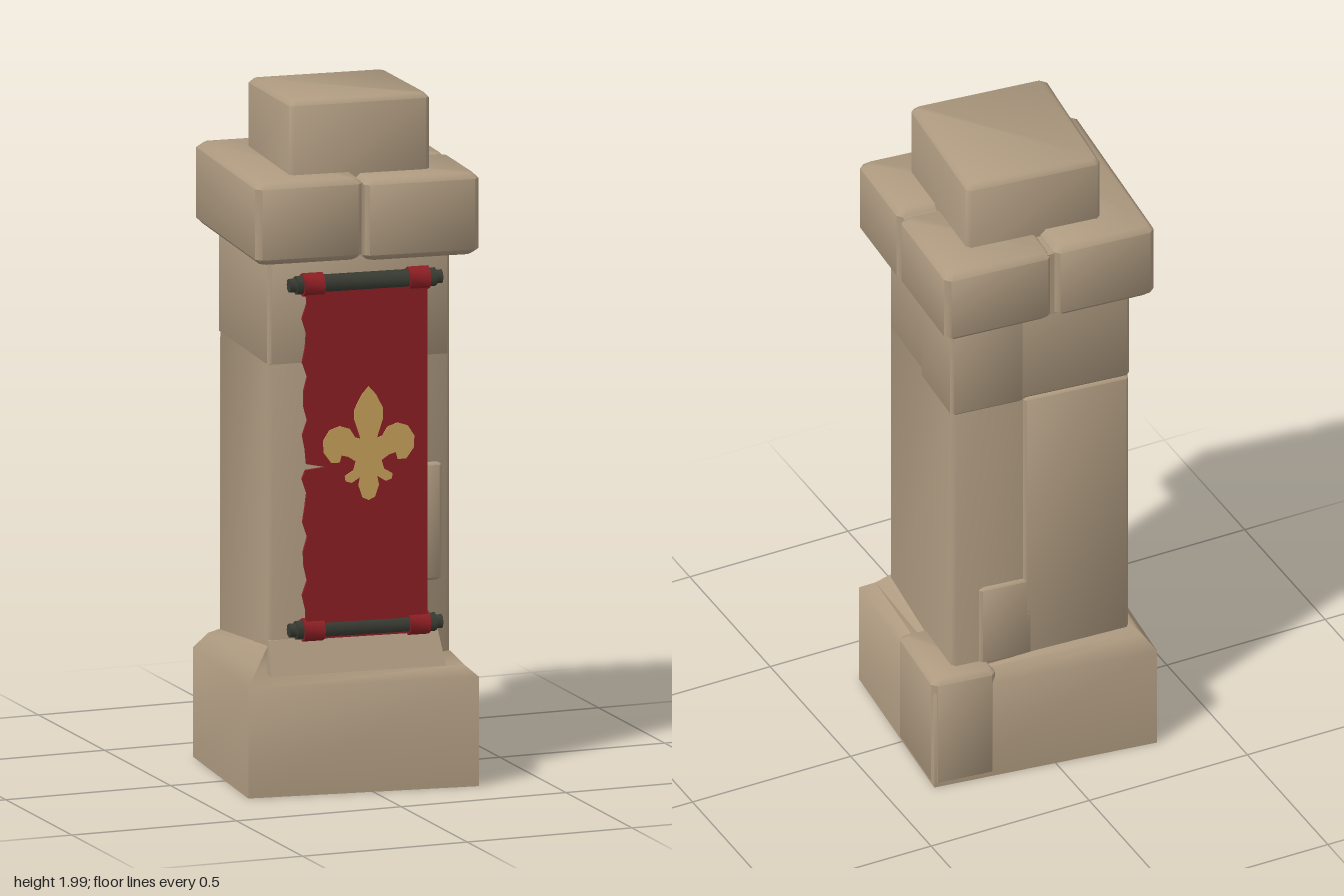
import * as THREE from 'three';
import { toCreasedNormals } from 'three/addons/utils/BufferGeometryUtils.js';

const mat = (name, color) => {
  const m = new THREE.MeshStandardMaterial({ color });
  m.name = name;
  return m;
};

// Skewed square footprints as [x, z]: back left, back right, front right, front left
const BASE = [[-0.30, -0.33], [0.36, -0.245], [0.305, 0.33], [-0.36, 0.24]];
const SHAFT = [[-0.25, -0.255], [0.28, -0.20], [0.245, 0.26], [-0.29, 0.215]];
const COLLAR = [[-0.29, -0.342], [0.345, -0.29], [0.305, 0.338], [-0.347, 0.272]];
const CAP = [[-0.175, -0.23], [0.225, -0.185], [0.195, 0.232], [-0.213, 0.19]];

const mix = (a, b, t) => [a[0] + (b[0] - a[0]) * t, a[1] + (b[1] - a[1]) * t];
const at = (q, u, v) => mix(mix(q[0], q[1], u), mix(q[3], q[2], u), v);
// Part of a footprint, u from left to right and v from back to front
const sub = (q, u0, u1, v0, v1) => [at(q, u0, v0), at(q, u1, v0), at(q, u1, v1), at(q, u0, v1)];
const scale = (q, s) => {
  const c = at(q, 0.5, 0.5);
  return q.map((p) => mix(c, p, s));
};
// Move every side of a footprint inward by about d
const inset = (q, d) => {
  const w = Math.hypot(q[1][0] - q[0][0], q[1][1] - q[0][1]);
  const h = Math.hypot(q[3][0] - q[0][0], q[3][1] - q[0][1]);
  return sub(q, d / w, 1 - d / w, d / h, 1 - d / h);
};
// Cut the four upright corners
const chamfer = (q, c) => q.flatMap((p, i) => [q[(i + 3) % 4], q[(i + 1) % 4]].map((n) =>
  mix(p, n, c / Math.hypot(n[0] - p[0], n[1] - p[1]))));

// Skin a stack of footprints; yAt may tilt a ring
function loft(rings, bottom = true, top = true) {
  const pos = [];
  const P = rings.map(([y, q]) => q.map(([x, z]) =>
    [x, typeof y === 'function' ? y(x, z) : y, z]));
  const n = P[0].length;
  for (let r = 0; r < P.length - 1; r++) {
    for (let i = 0; i < n; i++) {
      const j = (i + 1) % n;
      const [a, b, c, d] = [P[r][i], P[r][j], P[r + 1][i], P[r + 1][j]];
      pos.push(...a, ...c, ...b, ...b, ...c, ...d);
    }
  }
  const last = P[P.length - 1];
  for (let i = 1; i < n - 1; i++) {
    if (bottom) pos.push(...P[0][0], ...P[0][i], ...P[0][i + 1]);
    if (top) pos.push(...last[0], ...last[i + 1], ...last[i]);
  }
  const g = new THREE.BufferGeometry();
  g.setAttribute('position', new THREE.Float32BufferAttribute(pos, 3));
  return toCreasedNormals(g, 0.9);
}

// A stone with worn edges
function stoneGeo(q, y0, y1, b = 0.012) {
  const full = chamfer(q, b);
  const small = chamfer(inset(q, b), b);
  return loft([[y0, small], [y0 + b, full], [y1 - b, full], [y1, small]]);
}

export function createModel() {
  const stone = mat('stone', 0xae9a80);
  const red = mat('red cloth', 0x8c1f24);
  red.side = THREE.DoubleSide;
  const dark = mat('dark wood', 0x383b32);
  const gold = mat('gold', 0xc8a259);

  const model = new THREE.Group();
  model.name = 'bannerPillar';
  const add = (name, geo, material, parent = model) => {
    const m = new THREE.Mesh(geo, material);
    m.name = name;
    parent.add(m);
    return m;
  };

  // Plinth with a square hollow underneath
  const hole = scale(BASE, 0.5);
  add('plinth', loft([
    [0.01, hole], [0.01, BASE], [0.325, BASE],
    [(x, z) => 0.365 - x * 0.03, inset(BASE, 0.035)], [(x, z) => 0.39 - x * 0.1 + z * 0.1, SHAFT],
  ], false), stone);
  add('plinthHollow', loft([[0.3, hole], [0.01, hole]], true, false), dark);
  add('plinthCornerStone', stoneGeo(sub(BASE, 0.72, 1.008, -0.004, 0.46), 0.012, 0.37, 0.015), stone);
  add('plinthLedge', loft([
    [0.36, sub(SHAFT, -0.01, 0.95, 0.7, 1.1)], [0.455, sub(SHAFT, 0, 0.93, 0.7, 1.01)],
  ]), stone);

  // Shaft courses
  add('lowerShaft', loft([
    [0.34, chamfer(SHAFT, 0.012)], [1.25, chamfer(SHAFT, 0.012)],
  ]), stone);
  add('upperShaft', stoneGeo(sub(SHAFT, 0, 1.0, -0.025, 1), 1.24, 1.6, 0.01), stone);
  add('upperShaftSideStone', stoneGeo(sub(SHAFT, 0.6, 1.018, -0.03, 0.46), 1.235, 1.6, 0.008), stone);
  add('backLeftSlab', stoneGeo(sub(SHAFT, 0.005, 0.6, -0.02, 0.3), 0.36, 1.24, 0.008), stone);
  add('backLowSlab', stoneGeo(sub(SHAFT, 0.55, 0.85, -0.02, 0.3), 0.36, 0.62, 0.008), stone);
  add('frontSideSlab', stoneGeo(sub(SHAFT, 0.8, 0.95, 0.7, 1.025), 0.6, 0.94, 0.008), stone);

  // Collar stones with narrow seams
  add('collarCore', loft([[1.56, scale(COLLAR, 0.96)], [1.765, scale(COLLAR, 0.96)]]), stone);
  add('collarLeftStone', stoneGeo(sub(COLLAR, 0, 0.48, 0, 1), 1.55, 1.785, 0.016), stone);
  add('collarBackStone', stoneGeo(sub(COLLAR, 0.49, 1, 0, 0.535), 1.55, 1.775, 0.016), stone);
  add('collarFrontStone', stoneGeo(sub(COLLAR, 0.482, 1, 0.54, 1), 1.545, 1.78, 0.016), stone);

  // Cap block with a slightly tilted top
  const tilt = (y) => (x, z) => y + z * 0.04;
  add('capBlock', loft([
    [1.75, chamfer(CAP, 0.012)], [tilt(1.976), chamfer(CAP, 0.012)],
    [tilt(1.99), chamfer(inset(CAP, 0.012), 0.012)],
  ]), stone);

  // Banner group follows the turned front face
  const banner = new THREE.Group();
  banner.name = 'banner';
  banner.position.set(-0.015, 0, 0.264);
  banner.rotation.y = -0.094;
  model.add(banner);

  // Cloth with a frayed edge and a small tear
  const cloth = new THREE.Shape();
  cloth.moveTo(0.178, 0.46);
  cloth.lineTo(0.178, 1.47);
  cloth.lineTo(-0.178, 1.47);
  for (let i = 1; i < 24; i++) {
    const y = 1.47 - i * 0.042;
    cloth.lineTo(-0.182 + 0.008 * Math.sin(i * 2.3), y);
    if (i === 12) {
      cloth.lineTo(-0.12, y - 0.012);
      cloth.lineTo(-0.18, y - 0.018);
    }
  }
  cloth.lineTo(-0.178, 0.46);
  add('cloth', new THREE.ExtrudeGeometry(cloth, { depth: 0.009, bevelEnabled: false }), red, banner)
    .position.z = 0.008;

  // Rods with cloth loops
  for (const [name, y] of [['topRod', 1.48], ['bottomRod', 0.485]]) {
    const rod = new THREE.Group();
    rod.name = name;
    rod.position.y = y;
    banner.add(rod);
    const bar = (part, r, len, x, m) => {
      const g = toCreasedNormals(new THREE.CylinderGeometry(r, r, len, 8), 0.9);
      g.rotateZ(Math.PI / 2);
      add(part, g, m, rod).position.x = x;
    };
    bar('bar', 0.027, 0.41, 0, dark);
    for (const s of [-1, 1]) {
      bar('rodEnd', 0.02, 0.025, s * 0.212, dark);
      bar('clothLoop', 0.034, 0.06, s * 0.155, red);
    }
  }

  // Gold flower emblem, one outline mirrored about its axis
  const half = [[0, 0.18], [0.022, 0.155], [0.042, 0.115], [0.042, 0.085], [0.024, 0.03],
    [0.04, 0.035], [0.055, 0.06], [0.085, 0.07], [0.115, 0.06], [0.134, 0.03], [0.132, -0.005],
    [0.11, -0.035], [0.085, -0.035], [0.08, -0.015], [0.06, -0.02], [0.038, -0.035],
    [0.045, -0.06], [0.07, -0.075], [0.068, -0.09], [0.05, -0.096], [0.025, -0.08],
    [0.03, -0.105], [0.018, -0.14], [0, -0.148]];
  const outline = [...half, ...half.slice(1, -1).reverse().map(([x, y]) => [-x, y])];
  const flower = new THREE.Shape(outline.map(([x, y]) => new THREE.Vector2(x, y)));
  add('flowerEmblem', new THREE.ExtrudeGeometry(flower, { depth: 0.004, bevelEnabled: false }), gold, banner)
    .position.set(0.005, 1.0, 0.016);

  return model;
}
